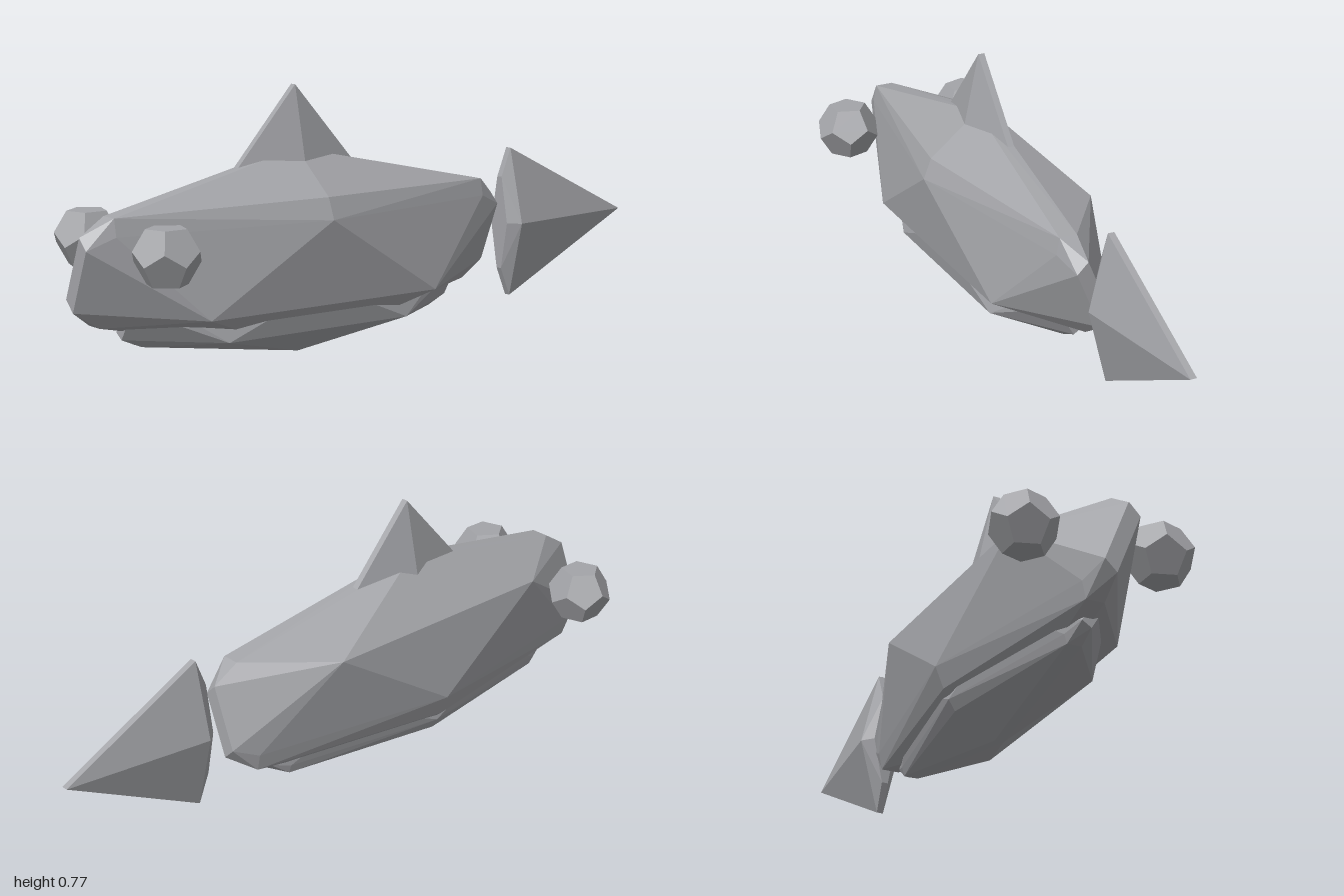
import * as THREE from 'three';
import { ConvexGeometry } from 'three/addons/geometries/ConvexGeometry.js';

// Key corners of the faceted body; the rest follow by symmetry
const BODY_POINTS = [
  [0.055, 0.073, 0.725], [0.02, 0.107, 0.725],                        // snout face
  [0.015, 0.158, 0.645], [0.07, 0.158, 0.645], [0.08, 0.107, 0.645],  // snout rim
  [-0.163, 0.14, 0.395],                                              // cheek
  [0.195, 0.107, 0], [0.17, 0.17, 0], [0.015, 0.295, 0], [-0.022, 0.293, 0], // widest ring
];

// Convex body: each corner is mirrored in z and turned half way round the z axis
function bodyGeometry(sx, sy, sz) {
  const points = [];
  for (const [x, y, z] of BODY_POINTS)
    for (const s of [1, -1])
      for (const t of [1, -1])
        points.push(new THREE.Vector3(s * x * sx, s * y * sy, t * z * sz));
  return new ConvexGeometry(points);
}

// Thin wedge fin: blunt edge at the tip (+y), diamond base, small chamfered foot
function finGeometry(height, halfLength, halfWidth, edge) {
  const points = [];
  for (const s of [1, -1]) {
    points.push(new THREE.Vector3(s * edge, height, 0), new THREE.Vector3(s * halfWidth, 0, 0));
    points.push(new THREE.Vector3(s * halfWidth * 0.55, -0.035, 0));
    for (const t of [1, -1]) {
      points.push(new THREE.Vector3(s * edge, 0, t * halfLength));
      points.push(new THREE.Vector3(s * edge, -0.035, t * halfLength * 0.62));
    }
  }
  return new ConvexGeometry(points);
}

export function createModel() {
  const model = new THREE.Group();
  model.name = 'fish';
  const grey = new THREE.MeshStandardMaterial({ color: 0xa3a4a8 });
  grey.name = 'grey';
  grey.flatShading = true;

  const add = (name, geometry, x, y, z) => {
    const mesh = new THREE.Mesh(geometry, grey);
    mesh.name = name;
    mesh.position.set(x, y, z);
    model.add(mesh);
    return mesh;
  };

  // Body and lower jaw share one shape
  add('body', bodyGeometry(1, 1, 1), 0, 0.298, 0.275);
  add('lowerJaw', bodyGeometry(0.79, 0.525, 0.793), 0, 0.155, 0.275);

  // Back fin and detached tail fin
  add('backFin', finGeometry(0.26, 0.23, 0.067, 0.01), 0, 0.515, 0.275);
  add('tailFin', finGeometry(0.46, 0.23, 0.067, 0.01), 0, 0.3, -0.54).rotation.x = -Math.PI / 2;

  // Eyes: twelve-sided solids standing on a pentagon
  const eye = new THREE.DodecahedronGeometry(0.0975);
  for (const [name, side] of [['leftEye', 1], ['rightEye', -1]])
    add(name, eye, side * 0.205, 0.362, 0.84).rotation.set(-0.5536, -Math.PI / 2, 0, 'YXZ');

  return model;
}
